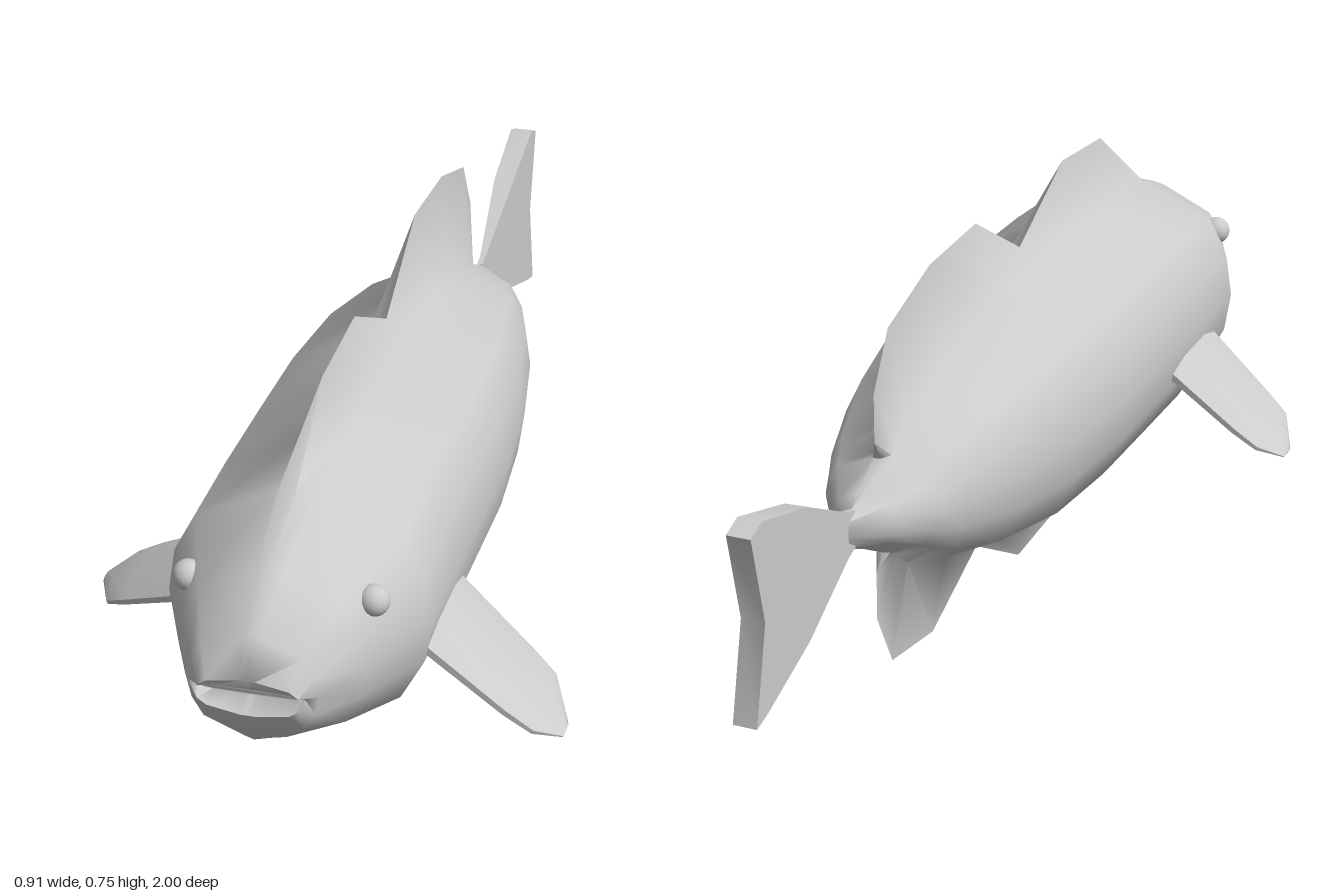
import * as THREE from 'three';
import { toCreasedNormals } from 'three/addons/utils/BufferGeometryUtils.js';

const material = new THREE.MeshStandardMaterial({ color: 0xcccccc });

// Skin a list of equal-length rings of [x, y, z] points and close both ends
function loft(name, rings, crease) {
  const n = rings[0].length, index = [];
  const quad = (a, b, c, d) => index.push(a, b, c, a, c, d);
  for (let i = 0; i < rings.length - 1; i++) {
    for (let j = 0; j < n; j++) {
      const k = (j + 1) % n;
      quad(i * n + j, i * n + k, (i + 1) * n + k, (i + 1) * n + j);
    }
  }
  const e = (rings.length - 1) * n;
  for (let j = 0; j < n / 2 - 1; j++) {
    quad(j + 1, j, n - 1 - j, n - 2 - j);
    quad(e + j, e + j + 1, e + n - 2 - j, e + n - 1 - j);
  }
  const geometry = new THREE.BufferGeometry();
  geometry.setAttribute('position', new THREE.Float32BufferAttribute(rings.flat(2), 3));
  geometry.setIndex(index);
  const mesh = new THREE.Mesh(toCreasedNormals(geometry, crease), material);
  mesh.name = name;
  return mesh;
}

// Body with dorsal and belly fins pulled out of the same skin
function makeBody() {
  // z, half width, top, bottom, dorsal tip y, belly tip y, z of the fin tips, z of the side points
  const sections = [
    [0.975, 0.085, 0.378, 0.370, 0.378, 0.370],
    [1.00, 0.09, 0.41, 0.345, 0.41, 0.345, 1.00, 0.98],
    [0.97, 0.11, 0.475, 0.285, 0.48, 0.28],
    [0.865, 0.16, 0.535, 0.22, 0.54, 0.215],
    [0.71, 0.228, 0.595, 0.16, 0.60, 0.155],
    [0.55, 0.228, 0.61, 0.137, 0.73, 0.05],
    [0.35, 0.228, 0.612, 0.135, 0.745, 0.015],
    [0.14, 0.228, 0.61, 0.135, 0.64, 0.00],
    [-0.065, 0.212, 0.60, 0.14, 0.755, 0.11],
    [-0.265, 0.178, 0.56, 0.18, 0.745, 0.025],
    [-0.41, 0.135, 0.505, 0.235, 0.69, 0.05, -0.44],
    [-0.45, 0.118, 0.475, 0.265, 0.59, 0.16, -0.50],
    [-0.465, 0.113, 0.465, 0.275, 0.50, 0.25, -0.50],
    [-0.475, 0.108, 0.458, 0.283, 0.46, 0.28],
    [-0.55, 0.06, 0.425, 0.325, 0.43, 0.32],
    [-0.62, 0.006, 0.40, 0.355, 0.405, 0.35],
  ];
  const half = [[0.14, 1], [0.77, 0.7], [0.945, 0.36], [1, 0], [0.945, -0.36], [0.77, -0.7], [0.14, -1]];
  const rings = sections.map(([z, w, top, bottom, finTop, finBottom, finZ = z, sideZ = z]) => {
    const mid = (top + bottom) / 2, h = (top - bottom) / 2;
    const side = (s) => half.map(([u, v]) => [s * u * w, mid + v * h, v === 0 ? sideZ : z]);
    return [[0, finTop, finZ], ...side(1), [0, finBottom, finZ], ...side(-1).reverse()];
  });
  return loft('body', rings, 1.15);
}

// Thin tail with a notched rear edge
function makeTail() {
  // z, half thickness, top, bottom, z of the middle points
  const sections = [
    [-0.59, 0.005, 0.413, 0.343],
    [-0.62, 0.006, 0.42, 0.335],
    [-0.80, 0.02, 0.51, 0.265],
    [-0.96, 0.022, 0.555, 0.21, -0.91],
    [-1.00, 0.022, 0.54, 0.20, -0.96],
  ];
  const rings = sections.map(([z, w, top, bottom, midZ = z]) => [
    [w, top, z], [w, 0.375, midZ], [w, bottom, z],
    [-w, bottom, z], [-w, 0.375, midZ], [-w, top, z],
  ]);
  return loft('tailFin', rings, 0.7);
}

// Paddle-shaped side fin sloping outward and down
function makeSideFin(name) {
  // x, rear z, front z, half thickness
  const sections = [
    [0.14, 0.41, 0.675, 0.028],
    [0.228, 0.46, 0.70, 0.026],
    [0.36, 0.53, 0.735, 0.02],
    [0.41, 0.56, 0.74, 0.015],
    [0.455, 0.665, 0.705, 0.004],
  ];
  const rings = sections.map(([x, back, front, t]) => {
    const y = 0.31 - 0.53 * (x - 0.228);
    const at = (f, v) => [x + 0.45 * v * t, y + 0.9 * v * t, back + f * (front - back)];
    return [at(0.3, 1), at(0.75, 0.9), at(1, 0.25), at(1, -0.25),
      at(0.75, -0.9), at(0.3, -1), at(0, -0.25), at(0, 0.25)];
  });
  return loft(name, rings, 1.0);
}

export function createModel() {
  const model = new THREE.Group();
  model.name = 'fish';
  const fish = new THREE.Group();
  fish.name = 'fishParts';
  fish.position.x = 0.01;
  model.add(fish);
  fish.add(makeBody(), makeTail());

  // Side fins: the right one is the left one turned half way round
  const rightFin = makeSideFin('rightSideFin');
  rightFin.rotation.y = Math.PI;
  rightFin.position.z = 1.09;
  fish.add(makeSideFin('leftSideFin'), rightFin);

  // Eyes
  for (const s of [1, -1]) {
    const eye = new THREE.Mesh(new THREE.SphereGeometry(0.027, 20, 14), material);
    eye.name = s > 0 ? 'leftEye' : 'rightEye';
    eye.position.set(s * 0.158, 0.473, 0.81);
    fish.add(eye);
  }
  return model;
}
